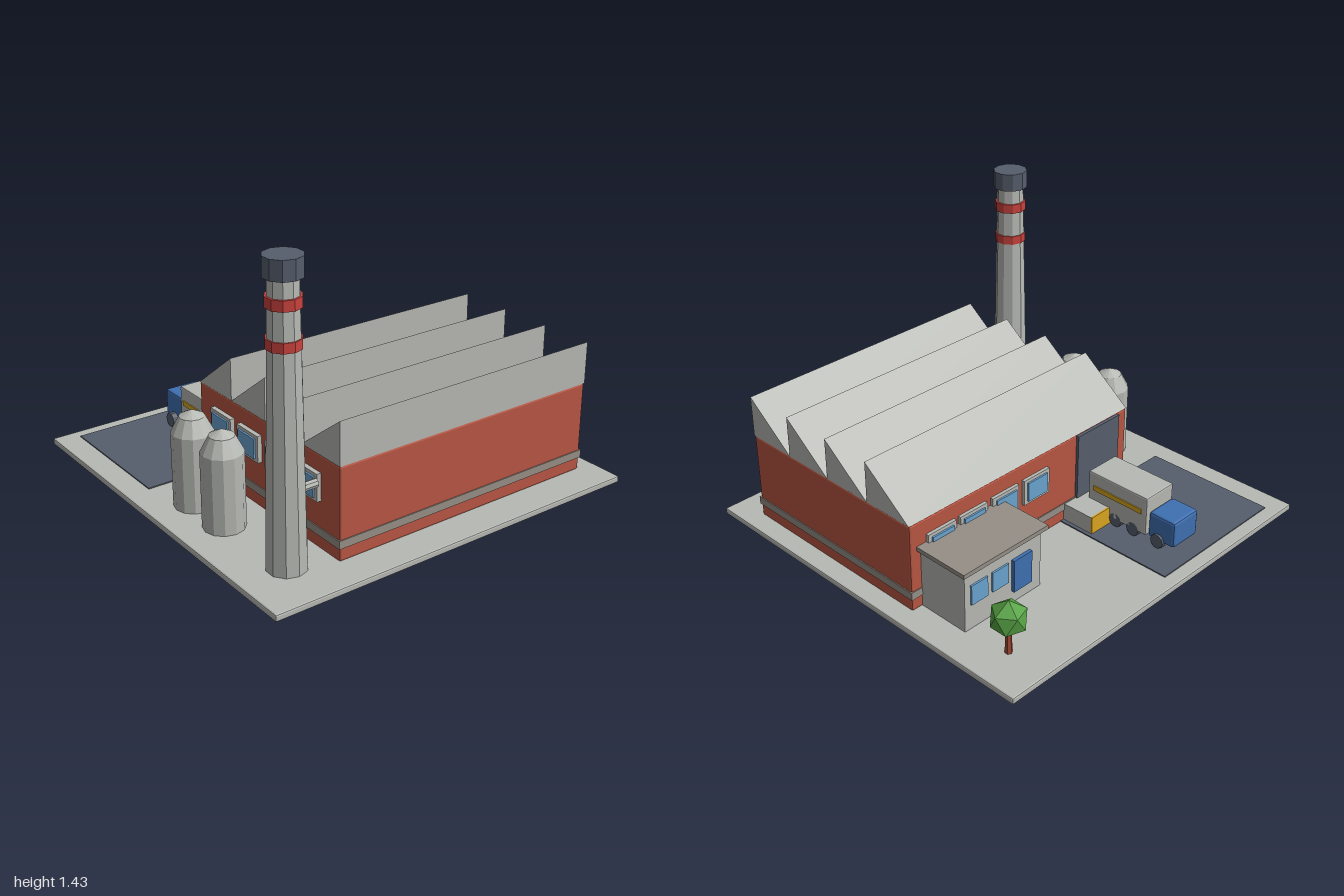
import * as THREE from 'three';
import { RoundedBoxGeometry } from 'three/addons/geometries/RoundedBoxGeometry.js';

const mat = (name, color, flatShading = true) =>
  Object.assign(new THREE.MeshStandardMaterial({ color }), { name, flatShading });

export function createModel() {
  const M = {
    brick: mat('brick', 0xb85643),
    concrete: mat('concrete', 0xb7b9b4),
    warmGrey: mat('warm grey', 0x968f87),
    slate: mat('slate', 0x565e6c),
    red: mat('signal red', 0xc8423d),
    blue: mat('blue paint', 0x3f70b2),
    glass: mat('glass', 0x6ba3d0),
    yellow: mat('yellow', 0xd9a520),
    green: mat('leaf green', 0x56a244),
    bark: mat('bark', 0xa04a35),
  };
  const model = new THREE.Group();
  model.name = 'factory';

  const add = (name, geometry, material, x = 0, y = 0, z = 0, parent = model) => {
    const mesh = new THREE.Mesh(geometry, material);
    mesh.name = name;
    mesh.position.set(x, y, z);
    parent.add(mesh);
    return mesh;
  };
  // Box given by its min and max on each axis, with an optional chamfer
  const box = (name, material, [x0, x1], [y0, y1], [z0, z1], bevel = 0, parent = model) => {
    const size = [x1 - x0, y1 - y0, z1 - z0];
    const geometry = bevel
      ? new RoundedBoxGeometry(...size, 1, bevel)
      : new THREE.BoxGeometry(...size);
    return add(name, geometry, material, (x0 + x1) / 2, (y0 + y1) / 2, (z0 + z1) / 2, parent);
  };
  const group = (name) => {
    const g = new THREE.Group();
    g.name = name;
    model.add(g);
    return g;
  };

  // Ground slab and yard
  box('groundSlab', M.concrete, [-1, 1], [0, 0.033], [-1, 1], 0.008);
  box('yard', M.slate, [-0.88, -0.08], [0.03, 0.039], [-0.93, -0.23]);

  // Main hall
  const hall = group('hall');
  box('hallWalls', M.brick, [-0.55, 0.9], [0.03, 0.485], [-0.28, 0.825], 0.01, hall);
  box('wallBand', M.warmGrey, [-0.555, 0.905], [0.095, 0.135], [-0.285, 0.83], 0, hall);

  // Sawtooth roof: four wedges, upright on their front side
  const pitch = 0.276;
  for (let i = 0; i < 4; i++) {
    const front = 0.826 - i * pitch;
    const wedge = new THREE.Shape([
      new THREE.Vector2(front - pitch, 0.484),
      new THREE.Vector2(front, 0.484),
      new THREE.Vector2(front, 0.695),
    ]);
    const geometry = new THREE.ExtrudeGeometry(wedge, { depth: 1.452, bevelEnabled: false });
    geometry.rotateY(-Math.PI / 2);
    add('roofTooth', geometry, M.concrete, 0.901, 0, 0, hall);
  }

  // Hall windows, built facing +z and turned to their wall
  const hallWindow = (x, z, turn) => {
    const g = group('hallWindow');
    box('windowFrame', M.concrete, [-0.085, 0.085], [0.268, 0.402], [-0.005, 0.02], 0, g);
    box('windowPane', M.glass, [-0.065, 0.065], [0.285, 0.385], [0.02, 0.029], 0, g);
    g.position.set(x, 0, z);
    g.rotation.y = turn;
  };
  for (const z of [-0.067, 0.157, 0.382, 0.608]) hallWindow(-0.553, z, -Math.PI / 2);
  for (const x of [0.113, 0.32, 0.525, 0.72]) hallWindow(x, -0.277, Math.PI);

  // Loading door and dock
  box('loadingDoor', M.slate, [-0.48, -0.18], [0.12, 0.48], [-0.295, -0.275]);
  box('loadingDock', M.concrete, [-0.55, -0.1], [0.03, 0.13], [-0.455, -0.275]);
  box('dockEdge', M.yellow, [-0.55, -0.1], [0.035, 0.132], [-0.464, -0.455]);

  // Office annex
  const office = group('office');
  box('officeWalls', M.concrete, [0.36, 0.84], [0.03, 0.345], [-0.555, -0.275], 0.006, office);
  box('officeRoof', M.warmGrey, [0.337, 0.862], [0.34, 0.362], [-0.577, -0.275], 0, office);
  box('officeDoor', M.blue, [0.435, 0.55], [0.1, 0.27], [-0.572, -0.553], 0, office);
  for (const x of [0.625, 0.755])
    box('officeWindow', M.glass, [x - 0.05, x + 0.05], [0.165, 0.268], [-0.564, -0.555], 0, office);

  // Chimney with two bands, cap and a flue pipe
  const chimney = group('chimney');
  chimney.position.set(-0.755, 0, 0.725);
  const drum = (name, material, rTop, rBottom, y0, y1) =>
    add(name, new THREE.CylinderGeometry(rTop, rBottom, y1 - y0, 10), material, 0, (y0 + y1) / 2, 0, chimney);
  drum('chimneyShaft', M.concrete, 0.068, 0.094, 0.03, 1.34);
  drum('chimneyBand', M.red, 0.08, 0.08, 1.038, 1.083);
  drum('chimneyBand', M.red, 0.08, 0.08, 1.212, 1.26);
  drum('chimneyCap', M.slate, 0.088, 0.088, 1.337, 1.427);
  const flue = new THREE.CylinderGeometry(0.021, 0.021, 0.1, 8).rotateZ(Math.PI / 2);
  add('fluePipe', flue, M.concrete, 0.105, 0.385, 0, chimney);

  // Silos
  const siloProfile = [[0.1, 0.03], [0.1, 0.405], [0.06, 0.482], [0, 0.512]]
    .map(([r, y]) => new THREE.Vector2(r, y));
  for (const z of [0.02, 0.27])
    add('silo', new THREE.LatheGeometry(siloProfile, 12), M.concrete, -0.777, 0, z);

  // Lorry
  const lorry = group('lorry');
  box('cab', M.blue, [-0.42, -0.24], [0.07, 0.21], [-0.85, -0.695], 0.014, lorry);
  box('cargoBox', M.concrete, [-0.425, -0.228], [0.075, 0.283], [-0.69, -0.325], 0.008, lorry);
  for (const x of [-0.427, -0.226])
    box('cargoStripe', M.yellow, [x - 0.003, x + 0.003], [0.187, 0.213], [-0.66, -0.36], 0, lorry);
  const wheel = new THREE.CylinderGeometry(0.037, 0.037, 0.03, 10).rotateZ(Math.PI / 2);
  for (const z of [-0.757, -0.608, -0.5])
    for (const x of [-0.438, -0.243]) add('wheel', wheel, M.slate, x, 0.075, z, lorry);

  // Tree
  const tree = group('tree');
  tree.position.set(0.8, 0, -0.78);
  add('trunk', new THREE.CylinderGeometry(0.014, 0.018, 0.12, 6), M.bark, 0, 0.09, 0, tree);
  const crown = new THREE.IcosahedronGeometry(0.09, 0).rotateZ(-Math.atan(2 / (1 + Math.sqrt(5))));
  add('treeCrown', crown, M.green, 0, 0.218, 0, tree);

  return model;
}
